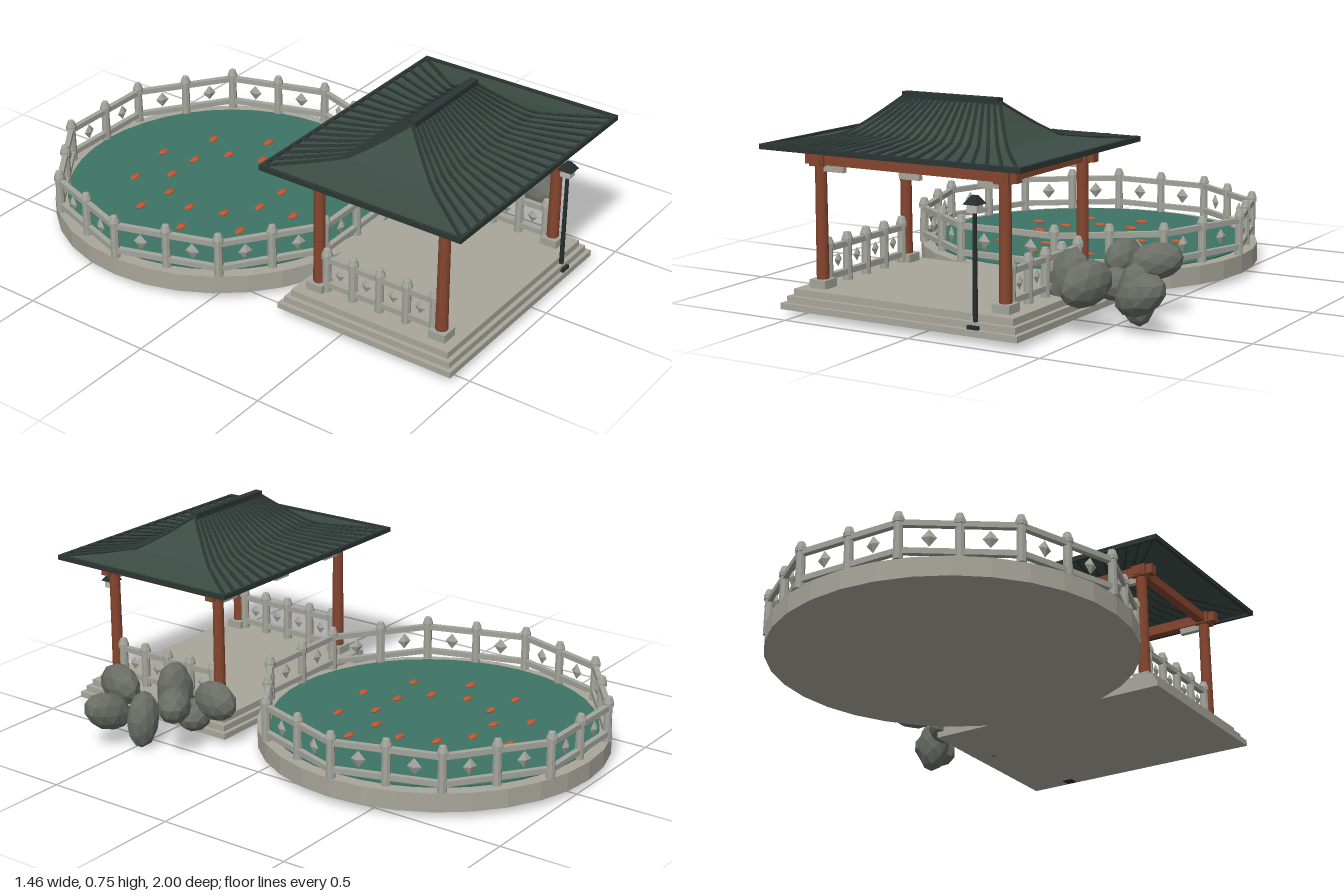
import * as THREE from 'three';

const mat = (name, color, extra = {}) => {
  const m = new THREE.MeshStandardMaterial({ color, flatShading: true, ...extra });
  m.name = name;
  return m;
};

export function createModel() {
  const model = new THREE.Group();
  const stone = mat('pale stone', 0xa9a79b);
  const railStone = mat('railing stone', 0xa3a49b);
  const water = mat('pond water', 0x3d7466);
  const fishOrange = mat('fish orange', 0xc05530);
  const wood = mat('red wood', 0x85452f);
  const tile = mat('roof tile', 0x3c4c45, { side: THREE.DoubleSide });
  const darkTile = mat('dark ridge tile', 0x2b3633);
  const iron = mat('dark iron', 0x262d2c);
  const glass = mat('lamp glass', 0xb9bab0);
  const rockGrey = mat('rock grey', 0x6a6e66);

  const add = (parent, name, geo, material, x = 0, y = 0, z = 0) => {
    const m = new THREE.Mesh(geo, material);
    m.name = name;
    m.position.set(x, y, z);
    parent.add(m);
    return m;
  };
  const box = (parent, name, material, w, h, d, x, y, z) =>
    add(parent, name, new THREE.BoxGeometry(w, h, d), material, x, y, z);
  const group = (name, x, z) => {
    const g = new THREE.Group();
    g.name = name;
    g.position.set(x, 0, z);
    model.add(g);
    return g;
  };

  // Railing pieces: a capped post, and a panel of two bars with a diamond
  const postGeo = new THREE.CylinderGeometry(0.015, 0.017, 0.145, 8);
  const capGeo = new THREE.LatheGeometry(
    [[0, -0.015], [0.02, -0.015], [0.02, 0], [0.012, 0.022], [0, 0.025]].map(p => new THREE.Vector2(...p)), 8);
  const diamondGeo = new THREE.OctahedronGeometry(1).scale(0.026, 0.031, 0.012);
  const post = (parent, x, z) => {
    add(parent, 'railPost', postGeo, railStone, x, 0.17, z);
    add(parent, 'railPostCap', capGeo, railStone, x, 0.244, z);
  };
  const panel = (parent, [x0, z0], [x1, z1], diamondScale = 1) => {
    const g = new THREE.Group();
    g.name = 'railPanel';
    g.position.set((x0 + x1) / 2, 0, (z0 + z1) / 2);
    g.rotation.y = -Math.atan2(z1 - z0, x1 - x0);
    parent.add(g);
    const len = Math.hypot(x1 - x0, z1 - z0);
    box(g, 'topRail', railStone, len, 0.02, 0.02, 0, 0.227, 0);
    box(g, 'lowerRail', railStone, len, 0.02, 0.02, 0, 0.128, 0);
    add(g, 'diamond', diamondGeo, railStone, 0, 0.178, 0).scale.setScalar(diamondScale);
  };

  // Round pond
  const pond = group('pond', -0.082, -0.355);
  add(pond, 'pondBase', new THREE.CylinderGeometry(0.645, 0.645, 0.069, 32), stone, 0, 0.0625);
  add(pond, 'water', new THREE.CylinderGeometry(0.598, 0.598, 0.008, 40), water, 0, 0.1);

  // Ten-sided railing with a post at each corner and each middle
  const ring = [];
  for (let i = 0; i < 20; i++) {
    const a = i * Math.PI / 10, r = i % 2 ? 0.603 : 0.634;
    ring.push([r * Math.cos(a), r * Math.sin(a)]);
  }
  ring.forEach((p, i) => {
    post(pond, ...p);
    panel(pond, p, ring[(i + 1) % 20]);
  });

  // Two rings of fish
  const fishGeo = new THREE.SphereGeometry(1, 10, 6).scale(0.026, 0.008, 0.014);
  for (let i = 0; i < 10; i++) {
    for (const [r, off] of [[0.222, 0], [0.352, 0.445]]) {
      const a = i * Math.PI / 5 + off;
      add(pond, 'fish', fishGeo, fishOrange, r * Math.cos(a), 0.106, r * Math.sin(a));
    }
  }

  // Pavilion platform of three steps
  const pavilion = group('pavilion', -0.082, 0.6);
  [[0.472, 0.356, 0.028, 0.05], [0.455, 0.34, 0.05, 0.073], [0.438, 0.323, 0.073, 0.097]].forEach(
    ([w, d, y0, y1]) => box(pavilion, 'platformStep', stone, 2 * w, y1 - y0, 2 * d, 0, (y0 + y1) / 2, 0));

  // Columns, beams and side railings
  for (const sx of [-1, 1]) {
    for (const sz of [-1, 1]) {
      const x = sx * 0.367, z = sz * 0.252;
      box(pavilion, 'columnBase', railStone, 0.066, 0.03, 0.066, x, 0.112, z);
      add(pavilion, 'column', new THREE.CylinderGeometry(0.02, 0.022, 0.41, 12), wood, x, 0.325, z);
      box(pavilion, 'columnHead', wood, 0.056, 0.044, 0.056, x, 0.541, z);
    }
    box(pavilion, 'sideBeam', wood, 0.034, 0.034, 0.57, sx * 0.367, 0.541, 0);
    box(pavilion, 'longBeam', wood, 0.84, 0.038, 0.034, 0, 0.543, sx * 0.252);
    for (const x of [-0.308, 0, 0.308])
      box(pavilion, 'beamPlate', stone, 0.08, 0.03, 0.02, x, 0.516, sx * 0.252);
    for (let i = 0; i < 5; i++) post(pavilion, sx * 0.367, -0.22 + i * 0.11);
    for (let i = 0; i < 4; i++)
      panel(pavilion, [sx * 0.367, -0.22 + i * 0.11], [sx * 0.367, -0.11 + i * 0.11], 0.8);
  }

  // Concave hipped roof: rectangles growing from the ridge out to the eave
  const profile = [[0, 0.74], [0.2, 0.677], [0.42, 0.62], [0.68, 0.604], [1, 0.592]];
  const rect = ([f, y]) => [[-1, 1], [1, 1], [1, -1], [-1, -1]].map(
    ([sx, sz]) => [sx * (0.193 + 0.317 * f), y, sz * 0.398 * f]);
  const verts = [];
  for (let k = 0; k < profile.length - 1; k++) {
    const inner = rect(profile[k]), outer = rect(profile[k + 1]);
    for (let i = 0; i < 4; i++) {
      const j = (i + 1) % 4;
      verts.push(...outer[i], ...outer[j], ...inner[j], ...outer[i], ...inner[j], ...inner[i]);
    }
  }
  const roofGeo = new THREE.BufferGeometry();
  roofGeo.setAttribute('position', new THREE.Float32BufferAttribute(verts, 3));
  roofGeo.computeVertexNormals();
  add(pavilion, 'roof', roofGeo, tile);

  // Tile ribs fanning down the long slopes
  const ribs = 19;
  for (const sz of [-1, 1]) {
    for (let i = 0; i < ribs; i++) {
      const u = -1 + 2 * i / (ribs - 1);
      const path = new THREE.CatmullRomCurve3(profile.map(
        ([f, y]) => new THREE.Vector3(u * (0.19 + 0.312 * f), y + 0.004, sz * 0.398 * f)));
      add(pavilion, 'tileRib', new THREE.TubeGeometry(path, 10, 0.0065, 5), darkTile);
    }
    box(pavilion, 'longEave', darkTile, 1.024, 0.018, 0.012, 0, 0.592, sz * 0.394);
    box(pavilion, 'shortEave', darkTile, 0.012, 0.018, 0.788, sz * 0.506, 0.592, 0);
  }
  box(pavilion, 'ridge', darkTile, 0.388, 0.022, 0.03, 0, 0.746, 0);

  // Lamp post
  const lamp = group('lampPost', 0.218, 0.93);
  box(lamp, 'lampFoot', iron, 0.042, 0.035, 0.042, 0, 0.045, 0);
  add(lamp, 'lampPole', new THREE.CylinderGeometry(0.007, 0.009, 0.39, 8), iron, 0, 0.245);
  box(lamp, 'lampLight', glass, 0.038, 0.028, 0.038, 0, 0.446, 0);
  add(lamp, 'lampRoof', new THREE.CylinderGeometry(0.012, 0.04, 0.028, 4).rotateY(Math.PI / 4), iron, 0, 0.473);

  // Rocks: position, radii, rotation
  const rocks = [
    [[0.636, 0.14, 0.585], [0.105, 0.068, 0.06], [0, -0.15, 0.5]],
    [[0.567, 0.112, 0.478], [0.065, 0.108, 0.054], [0, 0, 0.1]],
    [[0.563, 0.2, 0.33], [0.095, 0.066, 0.062], [0, 0.6, 0.15]],
    [[0.478, 0.175, 0.665], [0.058, 0.08, 0.11], [0.15, -0.3, 0]],
    [[0.405, 0.18, 0.27], [0.055, 0.075, 0.095], [0, -0.1, 0]],
    [[0.335, 0.14, 0.52], [0.08, 0.118, 0.062], [0, 0, -0.2]],
    [[0.42, 0.11, 0.36], [0.075, 0.06, 0.065], [0, 0.4, 0]],
  ];
  const rockGeo = new THREE.IcosahedronGeometry(1, 1);
  for (const [p, s, r] of rocks) {
    const m = add(model, 'rock', rockGeo, rockGrey, ...p);
    m.scale.set(...s);
    m.rotation.set(...r);
  }
  return model;
}
